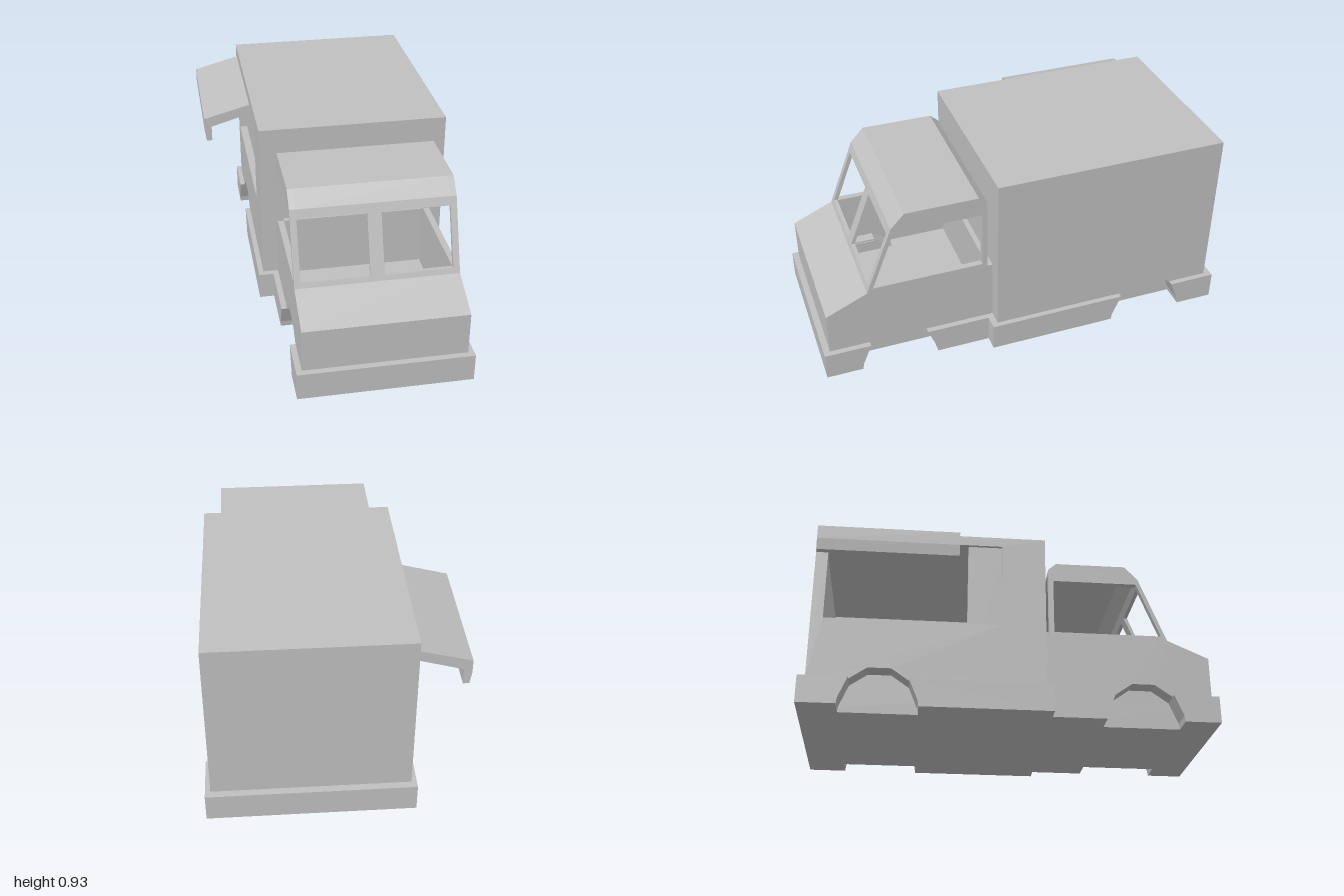
import * as THREE from 'three';

export function createModel() {
  const model = new THREE.Group();
  const grey = new THREE.MeshStandardMaterial({ color: 0xc0c0c0 });
  grey.name = 'plain grey';

  const CX = 0.1025;              // centre line of the vehicle, offset by the awning
  const FLOOR = 0.135, ARCH_DEPTH = 0.11;
  const FRONT_AXLE = 0.6375, REAR_AXLE = -0.6275;

  const add = (name, geometry) => {
    const mesh = new THREE.Mesh(geometry, grey);
    mesh.name = name;
    model.add(mesh);
    return mesh;
  };
  const points = (list) => list.map(([a, b]) => new THREE.Vector2(a, b));

  // Extrudes a side profile of [z, y] points from x0 to x1
  function slab(name, profile, x0, x1, hole) {
    const shape = new THREE.Shape(points(profile));
    if (hole) shape.holes.push(new THREE.Path(points(hole)));
    const geometry = new THREE.ExtrudeGeometry(shape, { depth: x1 - x0, bevelEnabled: false });
    geometry.rotateY(-Math.PI / 2);
    geometry.translate(x1, 0, 0);
    return add(name, geometry);
  }
  function block(name, x0, x1, y0, y1, z0, z1) {
    const geometry = new THREE.BoxGeometry(x1 - x0, y1 - y0, z1 - z0);
    geometry.translate((x0 + x1) / 2, (y0 + y1) / 2, (z0 + z1) / 2);
    return add(name, geometry);
  }
  // Same slab on both sides, given as distances from the centre line
  function slabPair(name, profile, inner, outer, hole) {
    slab(name + 'Left', profile, CX + inner, CX + outer, hole);
    slab(name + 'Right', profile, CX - outer, CX - inner, hole);
  }

  // Wheel arch outlines, running from back to front
  const skirtArch = (z) => [
    [[z - 0.1875, 0], [z - 0.183, 0.03], [z - 0.14, FLOOR]],
    [[z + 0.14, FLOOR], [z + 0.183, 0.03], [z + 0.1875, 0]],
  ];
  const bodyArch = (z) => [
    [z - 0.14, FLOOR], [z - 0.055, 0.195], [z + 0.055, 0.195], [z + 0.14, FLOOR],
  ];

  // Lower skirts, notched by the wheel arches
  function skirt(name, half, z0, z1, axle) {
    const inner = half - ARCH_DEPTH;
    const [back, front] = skirtArch(axle);
    block(name + 'Core', CX - inner, CX + inner, 0, FLOOR, z0, z1);
    slabPair(name + 'BehindArch', [[z0, 0], ...back, [z0, FLOOR]], inner, half);
    slabPair(name + 'AheadOfArch', [...front, [z1, 0], [z1, FLOOR]], inner, half);
  }
  skirt('cabSkirt', 0.41, 0.19, 1.0, FRONT_AXLE);
  skirt('boxSkirt', 0.4825, -1.0, 0.19, REAR_AXLE);

  // Raised arch covers inside the body
  function archCover(name, z, inner, outer) {
    const under = bodyArch(z);
    const over = [
      [z + 0.152, FLOOR], [z + 0.058, 0.203], [z - 0.058, 0.203], [z - 0.152, FLOOR],
    ];
    slabPair(name, [...under, ...over], inner, outer);
    slabPair(name + 'End', under, inner - 0.005, inner);
  }
  archCover('frontWheelArch', FRONT_AXLE, 0.41 - ARCH_DEPTH, 0.3825);
  archCover('rearWheelArch', REAR_AXLE, 0.4825 - ARCH_DEPTH, 0.4575);

  // Cab sides with door windows
  slabPair('cabSide', [
    [0.16, FLOOR], ...bodyArch(FRONT_AXLE), [0.97, FLOOR], [0.97, 0.345], [0.77, 0.435],
    [0.64, 0.77], [0.575, 0.84], [0.225, 0.84], [0.185, 0.805], [0.185, 0.44], [0.16, 0.44],
  ], 0.3525, 0.3825, [[0.21, 0.457], [0.21, 0.742], [0.63, 0.742], [0.74, 0.457]]);

  // Cab nose, windscreen post, roof and back ledge
  const X0 = CX - 0.3525, X1 = CX + 0.3525;
  slab('cabNose', [
    [0.97, FLOOR], [0.97, 0.345], [0.77, 0.435], [0.76, 0.46],
    [0.742, 0.46], [0.752, 0.425], [0.95, 0.33], [0.95, FLOOR],
  ], X0, X1);
  slab('windscreenPost', [[0.76, 0.46], [0.6555, 0.73], [0.637, 0.73], [0.742, 0.46]],
    CX - 0.0325, CX + 0.0325);
  slab('cabRoof', [
    [0.6555, 0.73], [0.64, 0.77], [0.575, 0.84], [0.225, 0.84], [0.185, 0.805],
    [0.185, 0.785], [0.225, 0.82], [0.565, 0.82], [0.622, 0.765], [0.637, 0.73],
  ], X0, X1);
  block('cabBackLedge', X0, X1, FLOOR, 0.44, 0.16, 0.185);

  // Cargo box, with a serving hatch in the right wall
  const B = 0.4575, T = 0.04, TOP = 0.93, BACK = -0.965, FRONT = 0.16;
  const wall = [[BACK, FLOOR], ...bodyArch(REAR_AXLE), [FRONT, FLOOR], [FRONT, TOP], [BACK, TOP]];
  slab('boxLeftWall', wall, CX + B - T, CX + B);
  slab('boxRightWall', wall, CX - B, CX - B + T,
    [[-0.906, 0.445], [-0.906, 0.88], [-0.054, 0.88], [-0.054, 0.445]]);
  block('boxRoof', CX - B + T, CX + B - T, TOP - T, TOP, BACK, FRONT);
  block('boxBackWall', CX - B + T, CX + B - T, FLOOR, TOP - T, BACK, BACK + T);
  block('boxFrontWall', CX - B + T, CX + B - T, FLOOR, TOP - T, FRONT - T, FRONT);
  block('hatchPost', CX - B + 0.015, CX - B + 0.055, FLOOR, TOP - T, -0.22, -0.04);

  // Awning with a hanging lip
  const awning = new THREE.ExtrudeGeometry(new THREE.Shape(points([
    [-0.355, 0.87], [-0.588, 0.807], [-0.588, 0.74], [-0.58, 0.685],
    [-0.552, 0.685], [-0.552, 0.762], [-0.355, 0.82],
  ])), { depth: 0.665, bevelEnabled: false });
  awning.translate(0, 0, -0.94);
  add('awning', awning);

  return model;
}
